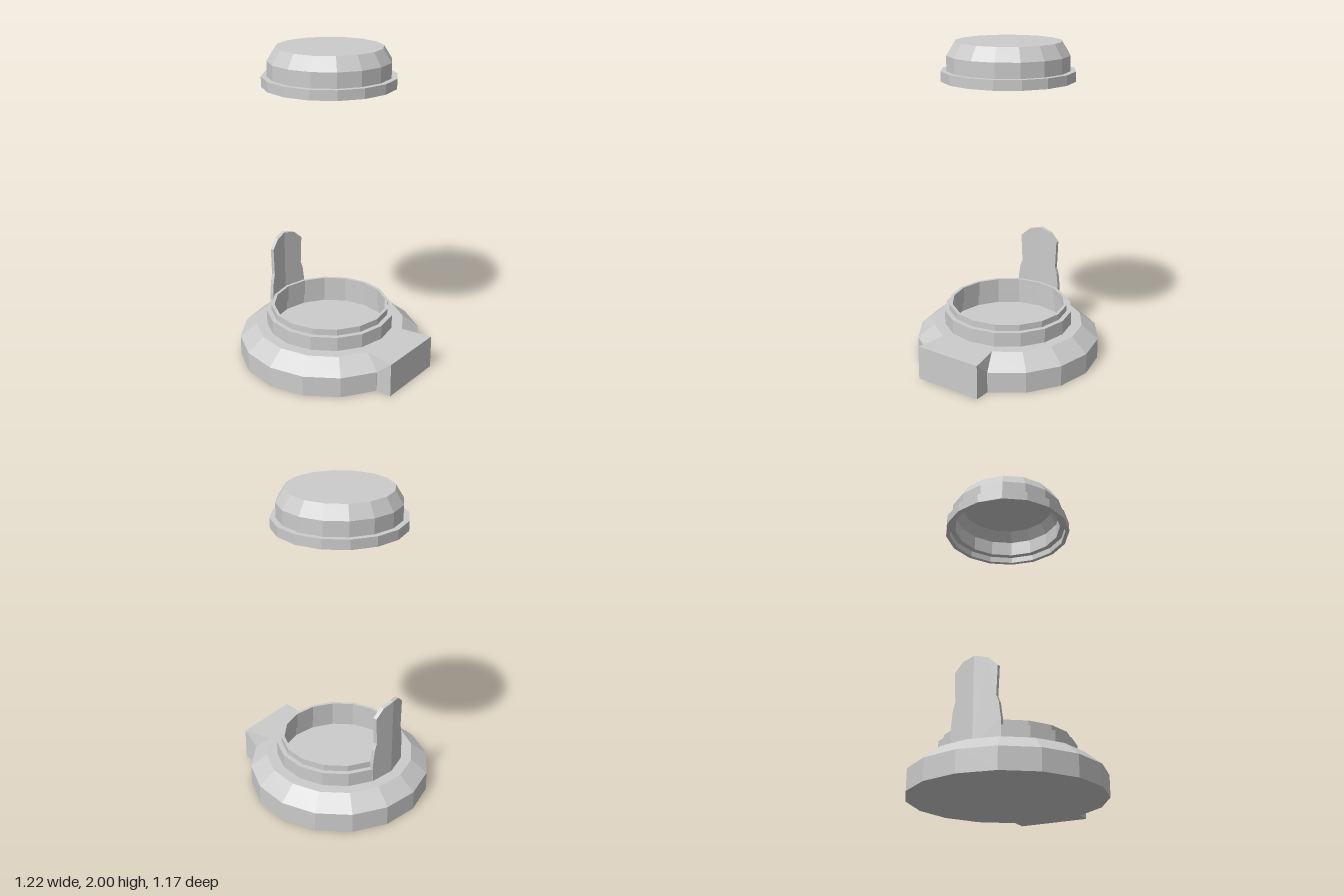
import * as THREE from 'three';
import { ConvexGeometry } from 'three/addons/geometries/ConvexGeometry.js';

const SIDES = 16;
const AXIS_X = -0.03; // shared axis of the round parts

export function createModel() {
  const model = new THREE.Group();
  const material = new THREE.MeshStandardMaterial({ color: 0xcccccc, flatShading: true });

  const add = (name, geometry, x = 0) => {
    const mesh = new THREE.Mesh(geometry, material);
    mesh.name = name;
    mesh.position.x = x;
    model.add(mesh);
    return mesh;
  };
  const turned = (profile) =>
    new THREE.LatheGeometry(profile.map(([r, y]) => new THREE.Vector2(r, y)), SIDES);

  // Closed-bottom base with sloped shoulder, stepped neck and recessed floor
  add('base', turned([
    [0, 0], [0.585, 0], [0.585, 0.13], [0.48, 0.215], [0.41, 0.215], [0.41, 0.305],
    [0.38, 0.305], [0.38, 0.345], [0.36, 0.345], [0.36, 0.24], [0.375, 0.24],
    [0.375, 0.17], [0, 0.17],
  ]), AXIS_X);

  // Hollow cap floating above, with a flange and a stepped inner lip
  add('cap', turned([
    [0, 1.975], [0.3, 1.975], [0.345, 1.91], [0.345, 1.81], [0.38, 1.81], [0.38, 1.77],
    [0.405, 1.77], [0.405, 1.83], [0.37, 1.83], [0.37, 1.92], [0.32, 2], [0, 2],
  ]), AXIS_X);

  // Block at the side of the base, flaring outward from the shoulder
  const corners = [];
  for (const s of [-1, 1]) {
    for (const [x, y, z] of [
      [0.41, 0.215, 0.185], [0.41, 0, 0.185], [0.51, 0.13, 0.222], [0.51, 0, 0.222],
      [0.61, 0.215, 0.22], [0.61, 0, 0.22],
    ]) corners.push(new THREE.Vector3(x, y, s * z));
  }
  add('sideBlock', new ConvexGeometry(corners));

  // Upright tongue: two mirrored halves bent along the facets of the neck
  const outline = [
    [0, 0.215], [0.157, 0.215], [0.157, 0.345], [0.145, 0.44], [0.13, 0.48],
    [0.138, 0.66], [0.08, 0.713], [0, 0.73],
  ];
  const bend = Math.tan(Math.PI / SIDES);
  for (const s of [-1, 1]) {
    const shape = new THREE.Shape(outline.map(([z, y]) => new THREE.Vector2(s * z, y)));
    const geometry = new THREE.ExtrudeGeometry(shape, { depth: 0.025, bevelEnabled: false });
    geometry.rotateY(-Math.PI / 2);
    const p = geometry.attributes.position;
    for (let i = 0; i < p.count; i++) {
      p.setX(i, p.getX(i) - 0.386 + bend * Math.abs(p.getZ(i)));
    }
    geometry.computeVertexNormals();
    add(s > 0 ? 'tongueFrontHalf' : 'tongueBackHalf', geometry, AXIS_X);
  }

  return model;
}
